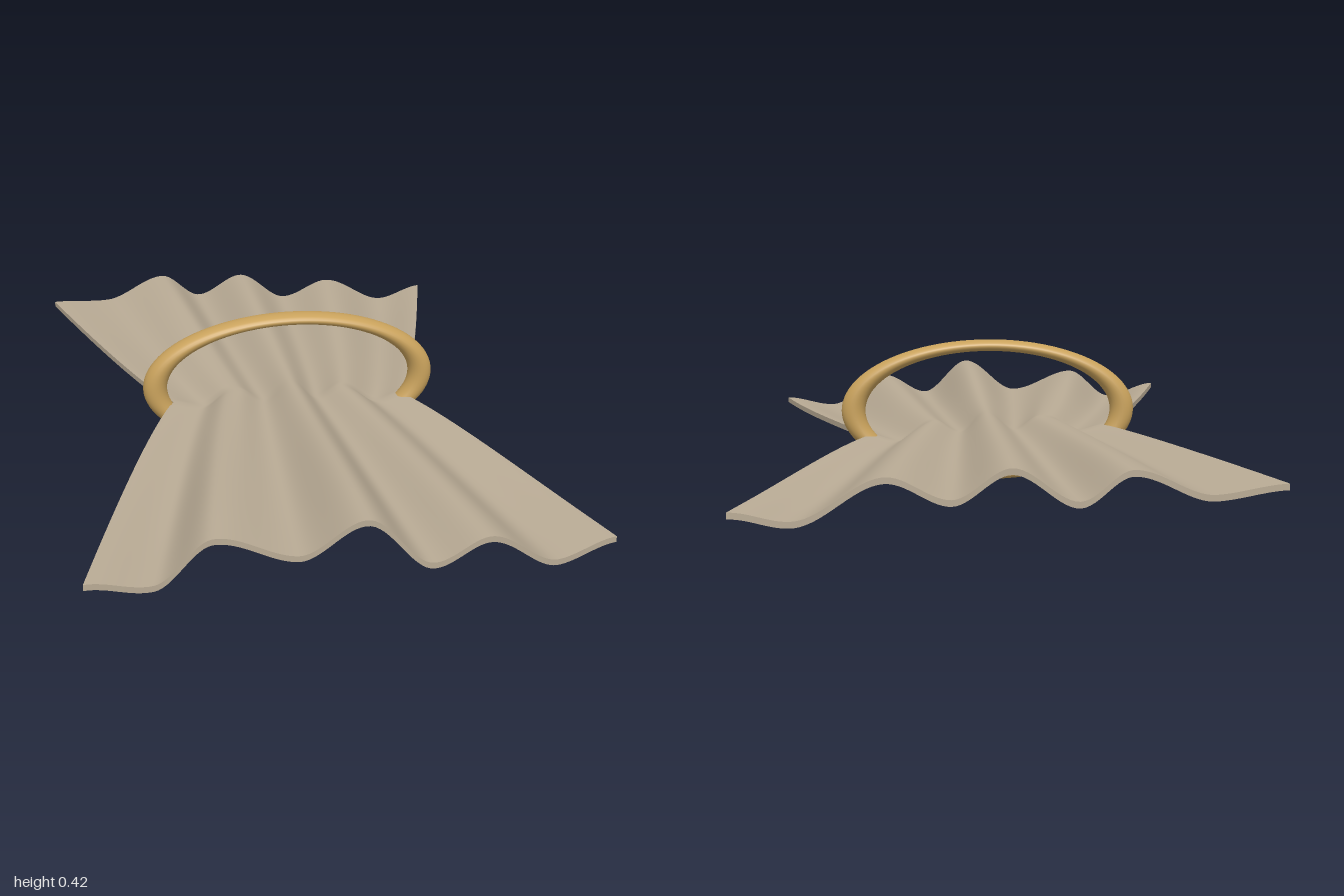
import * as THREE from 'three';

// Fold crests and troughs across the cloth: [u, height]
const FRONT = [[-1, 0.15], [-0.75, 0.11], [-0.53, 0.205], [-0.22, 0.14], [0.03, 0.24],
  [0.26, 0.125], [0.47, 0.185], [0.76, 0.085], [1, 0.115]];
const BACK = [[-1, 0.155], [-0.72, 0.138], [-0.42, 0.205], [-0.23, 0.13], [0, 0.205],
  [0.22, 0.125], [0.45, 0.18], [0.78, 0.085], [1, 0.115]];
const MEAN = 0.155;
const THICKNESS = 0.016;

// Smooth wave through the crests and troughs
function foldHeight(keys, u) {
  let i = 0;
  while (i < keys.length - 2 && u > keys[i + 1][0]) i++;
  const [u0, h0] = keys[i], [u1, h1] = keys[i + 1];
  return THREE.MathUtils.lerp(h0, h1, THREE.MathUtils.smoothstep(u, u0, u1));
}

// Gathered cloth: a thin slab pinched at the middle and folded lengthwise
function createCloth() {
  const geometry = new THREE.BoxGeometry(2, THICKNESS, 2, 120, 1, 80);
  const pos = geometry.attributes.position;
  for (let i = 0; i < pos.count; i++) {
    const u = pos.getX(i), side = pos.getY(i), v = pos.getZ(i);
    const spread = Math.abs(v);
    const x = u * (0.345 + 0.315 * Math.pow(spread, 0.85));
    const z = 0.96 * v + 0.038 * spread * Math.sin(4 * u);
    const blend = THREE.MathUtils.smoothstep(v, -1, 1);
    const fold = THREE.MathUtils.lerp(foldHeight(BACK, u), foldHeight(FRONT, u), blend);
    const depth = 0.62 + 0.38 * THREE.MathUtils.smoothstep(spread, 0, 0.9);
    pos.setXYZ(i, x, MEAN + (fold - MEAN) * depth + side, z);
  }
  geometry.computeVertexNormals();
  const cloth = new THREE.Mesh(geometry, new THREE.MeshStandardMaterial({ color: 0xb9ab95 }));
  cloth.name = 'cloth';
  return cloth;
}

// Oval ring around the pinched middle
function createRing() {
  const geometry = new THREE.TorusGeometry(0.398, 0.035, 24, 96);
  geometry.scale(1, 0.482, 1);
  const ring = new THREE.Mesh(geometry, new THREE.MeshStandardMaterial({ color: 0xc9a25c }));
  ring.name = 'ring';
  ring.position.y = 0.21;
  return ring;
}

export function createModel() {
  const model = new THREE.Group();
  model.name = 'napkinWithRing';
  model.add(createCloth(), createRing());
  return model;
}
